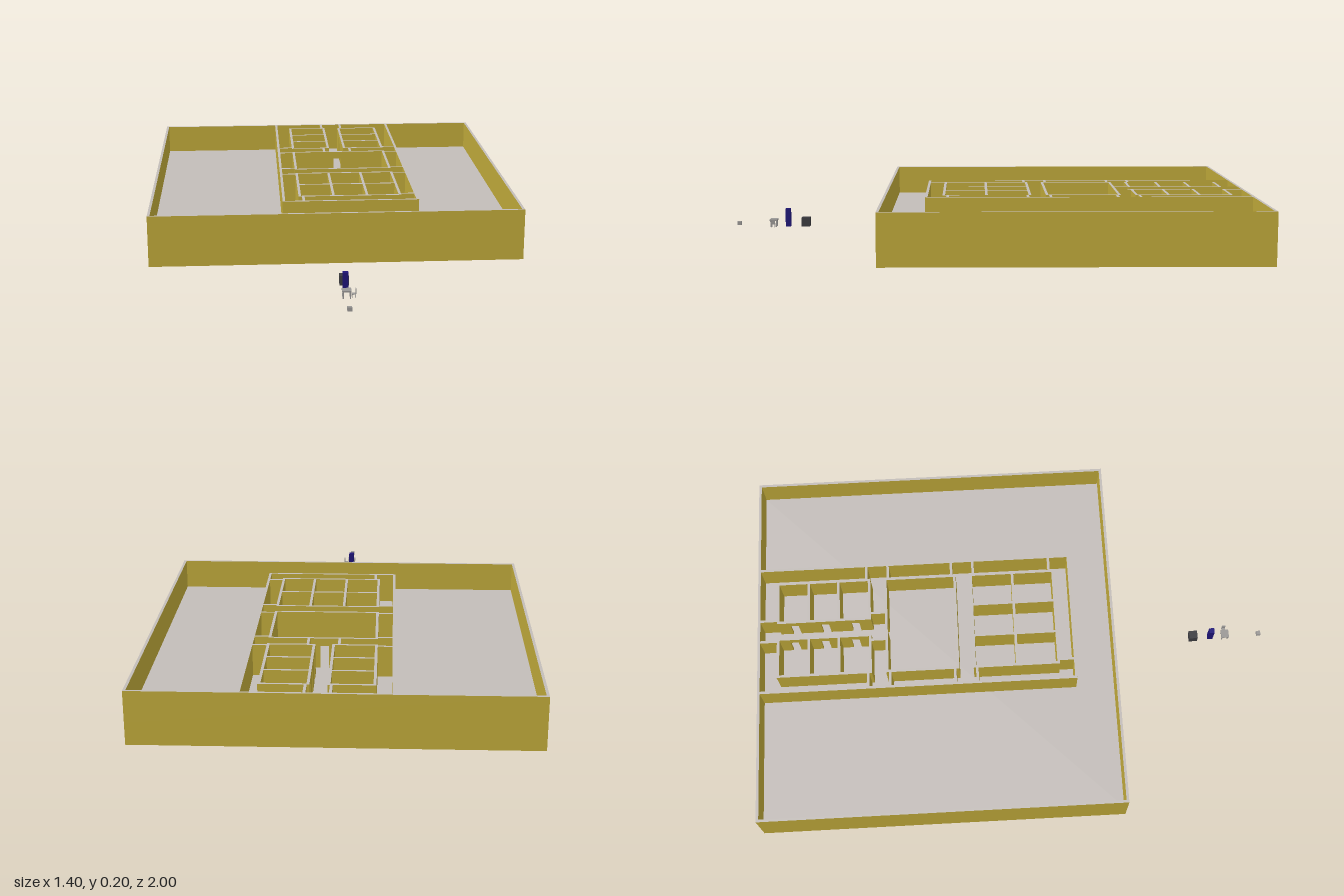
import * as THREE from 'three';

const mat = (name, color) => {
  const m = new THREE.MeshStandardMaterial({ color });
  m.name = name;
  return m;
};

export function createModel() {
  const model = new THREE.Group();
  model.name = 'buildingPlan';
  const ochre = mat('ochreWall', 0xbfa93a);
  const grey = mat('paleGrey', 0xc2bcb8);
  const dark = mat('darkGrey', 0x3c3c40);
  const navy = mat('navyBlue', 0x1e1478);
  const silver = mat('silver', 0x9a9896);

  const FLOOR = 0.08, TOP = 0.195, T = 0.01, LINTEL = 0.165;
  // ochre sides and underside, pale grey upper face
  const capped = [ochre, ochre, grey, ochre, ochre, ochre];

  const box = (parent, name, x0, x1, y0, y1, z0, z1, material) => {
    const m = new THREE.Mesh(new THREE.BoxGeometry(x1 - x0, y1 - y0, z1 - z0), material);
    m.position.set((x0 + x1) / 2, (y0 + y1) / 2, (z0 + z1) / 2);
    m.name = name;
    parent.add(m);
    return m;
  };

  // Floor slab and perimeter
  box(model, 'floorSlab', -0.7, 0.7, 0, FLOOR, -1, 0.4, capped);
  const outer = new THREE.Group();
  outer.name = 'perimeterWalls';
  model.add(outer);
  for (const x of [-0.7, 0.7 - T]) box(outer, 'sideWall', x, x + T, FLOOR, TOP, -1, 0.4, capped);
  for (const z of [-1, 0.4 - T]) box(outer, 'endWall', -0.7 + T, 0.7 - T, FLOOR, TOP, z, z + T, capped);

  // Inner walls; door is the centre of an optional opening
  const inner = new THREE.Group();
  inner.name = 'innerWalls';
  model.add(inner);
  const wallX = (z, x0, x1, door) => {
    const part = (a, b, y) => box(inner, 'crossWall', a, b, y, TOP, z - T / 2, z + T / 2, capped);
    if (door === undefined) return part(x0, x1, FLOOR);
    part(x0, door - 0.016, FLOOR);
    part(door - 0.016, door + 0.016, LINTEL);
    part(door + 0.016, x1, FLOOR);
  };
  const wallZ = (x, z0, z1, doors = []) => {
    const part = (a, b, y) => box(inner, 'longWall', x - T / 2, x + T / 2, y, TOP, a, b, capped);
    let start = z0;
    for (const d of doors) {
      part(start, d - 0.016, FLOOR);
      part(d - 0.016, d + 0.016, LINTEL);
      start = d + 0.016;
    }
    part(start, z1, FLOOR);
  };

  // Building shell
  wallZ(-0.193, -0.99, 0.24);
  wallZ(0.318, -0.99, 0.24);
  wallX(0.237, -0.19, 0.315);

  // Two rows of rear rooms either side of a corridor
  for (const [x0, x1] of [[-0.13, 0.023], [0.093, 0.257]]) {
    for (const z of [-0.92, -0.8, -0.682, -0.56]) wallX(z, x0 - T / 2, x1 + T / 2);
    const doors = [-0.86, -0.74, -0.62];
    wallZ(x0, -0.92, -0.56, x0 > 0 ? doors : []);
    wallZ(x1, -0.92, -0.56, x0 > 0 ? [] : doors);
  }
  for (const x of [0.015, 0.102]) wallZ(x, -0.99, -0.92);
  for (const x of [0.003, 0.115]) wallZ(x, -0.56, -0.495);

  // Central hall
  wallX(-0.495, -0.135, 0.262, 0.058);
  wallX(-0.22, -0.135, 0.262);
  for (const x of [-0.13, 0.257]) wallZ(x, -0.495, -0.22);

  // Front block of six rooms
  for (const z of [-0.155, 0.01, 0.172]) wallX(z, -0.135, 0.262);
  for (const x of [-0.13, 0, 0.13, 0.257]) wallZ(x, -0.155, 0.172);

  // Short walls across the side passages
  for (const z of [-0.57, -0.485, -0.232, -0.146]) {
    wallX(z, -0.19, -0.135);
    wallX(z, 0.262, 0.315);
  }
  wallX(0.157, 0.262, 0.315);
  wallZ(-0.117, 0.172, 0.237);

  // Loose furniture in front
  box(model, 'darkCabinet', -0.016, 0.016, 0.038, 0.073, 0.71, 0.743, dark);
  box(model, 'blueLocker', -0.01, 0.01, 0.036, 0.108, 0.787, 0.807, navy);

  const desk = new THREE.Group();
  desk.name = 'desk';
  model.add(desk);
  box(desk, 'deskTop', -0.016, 0.016, 0.06, 0.066, 0.84, 0.87, silver);
  for (const x of [-0.014, 0.01])
    for (const z of [0.842, 0.864]) box(desk, 'deskLeg', x, x + 0.004, 0.036, 0.06, z, z + 0.004, silver);

  const chair = new THREE.Group();
  chair.name = 'chair';
  model.add(chair);
  box(chair, 'chairSeat', 0.018, 0.032, 0.048, 0.051, 0.847, 0.861, silver);
  box(chair, 'chairBack', 0.03, 0.033, 0.051, 0.068, 0.847, 0.861, silver);
  for (const x of [0.018, 0.03])
    for (const z of [0.847, 0.859]) box(chair, 'chairLeg', x, x + 0.002, 0.036, 0.048, z, z + 0.002, silver);

  box(model, 'smallBlock', -0.008, 0.008, 0.042, 0.056, 0.984, 1, silver);
  return model;
}
